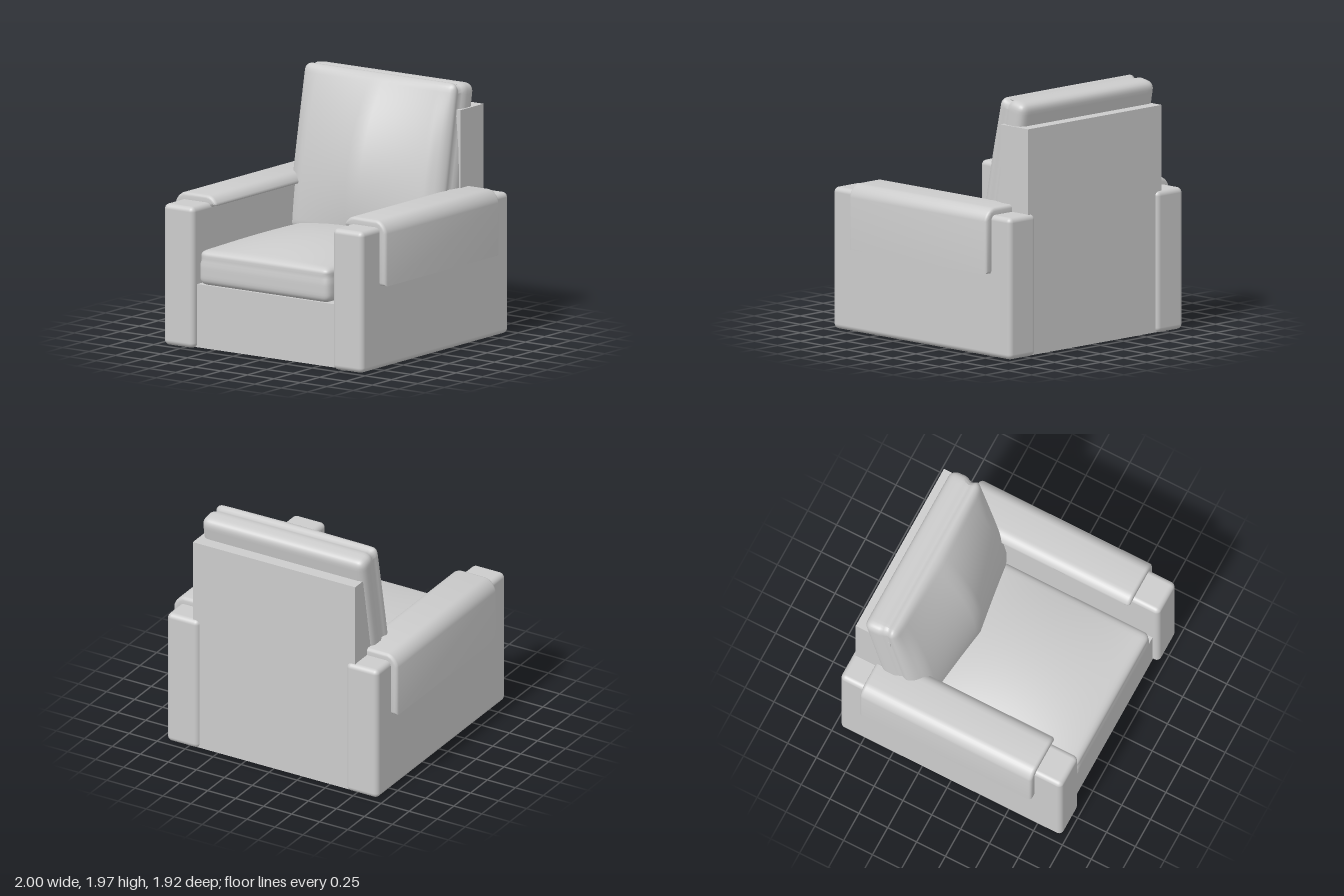
import * as THREE from 'three';
import { mergeVertices, toCreasedNormals } from 'three/addons/utils/BufferGeometryUtils.js';
import { RoundedBoxGeometry } from 'three/addons/geometries/RoundedBoxGeometry.js';

const material = new THREE.MeshStandardMaterial({ color: 0xcccccc });

function add(group, name, geometry, x = 0, y = 0, z = 0) {
  const mesh = new THREE.Mesh(geometry, material);
  mesh.name = name;
  mesh.position.set(x, y, z);
  group.add(mesh);
  return mesh;
}

// Rounded slab whose +z face swells by bulge(x, y); a shallow groove runs round its sides.
function cushion(w, h, d, r, groove, bulge) {
  const geo = new THREE.BoxGeometry(2, 2, 2, 36, 36, 16);
  const half = new THREE.Vector3(w / 2, h / 2, d / 2);
  const inner = half.clone().subScalar(r);
  const innerMin = inner.clone().negate();
  const pos = geo.attributes.position;
  const p = new THREE.Vector3(), c = new THREE.Vector3();
  const ease = (s) => Math.sin(s * Math.PI / 2); // denser rows near the edges
  for (let i = 0; i < pos.count; i++) {
    p.set(ease(pos.getX(i)), ease(pos.getY(i)), ease(pos.getZ(i))).multiply(half);
    c.copy(p).clamp(innerMin, inner);
    p.sub(c).setLength(r).add(c);
    const t = p.z / half.z;
    const dent = groove.depth * Math.exp(-(((t - groove.at) / groove.width) ** 2));
    const swell = p.z > 0 ? bulge(p.x, p.y) * THREE.MathUtils.smoothstep(t, 0.6, 1) : 0;
    // the dent only affects the outer rim, not the middle of the faces
    if (Math.abs(p.x) > inner.x) p.x -= Math.sign(p.x) * dent;
    if (Math.abs(p.y) > inner.y) p.y -= Math.sign(p.y) * dent;
    p.z += swell;
    pos.setXYZ(i, p.x, p.y, p.z);
  }
  geo.deleteAttribute('uv');
  geo.deleteAttribute('normal');
  const merged = mergeVertices(geo, 1e-5);
  merged.computeVertexNormals();
  return merged;
}

// Padded cover draped over the top and outer side of an arm
function armPadGeometry(side) {
  const s = new THREE.Shape();
  s.moveTo(0.92, 0.65);
  s.lineTo(1.0, 0.65);
  s.lineTo(1.0, 1.06);
  s.bezierCurveTo(0.995, 1.11, 0.95, 1.16, 0.9, 1.16);
  s.lineTo(0.7, 1.16);
  s.bezierCurveTo(0.65, 1.16, 0.62, 1.13, 0.607, 1.095);
  s.quadraticCurveTo(0.61, 1.075, 0.64, 1.08);
  s.lineTo(0.68, 1.06);
  s.lineTo(0.92, 1.06);
  if (side < 0) {
    const pts = s.getPoints(8).map((q) => new THREE.Vector2(-q.x, q.y)).reverse();
    s.curves = [];
    s.setFromPoints(pts);
  }
  const bevel = 0.025;
  const geo = new THREE.ExtrudeGeometry(s, {
    depth: 1.49 - 2 * bevel, curveSegments: 8, bevelEnabled: true, bevelSegments: 3,
    bevelSize: bevel, bevelThickness: bevel, bevelOffset: -bevel,
  });
  geo.translate(0, 0, -0.76 + bevel);
  return toCreasedNormals(geo, 0.7);
}

export function createModel() {
  const model = new THREE.Group();
  model.name = 'armchair';

  // Plain box frame: plinth under the seat and upright back
  add(model, 'base', new THREE.BoxGeometry(1.4, 0.495, 1.83), 0, 0.2525, -0.01);
  add(model, 'backPanel', new THREE.BoxGeometry(1.45, 1.765, 0.3), -0.005, 0.8875, -0.785);

  // Arms and their covers
  for (const [side, label] of [[1, 'left'], [-1, 'right']]) {
    add(model, label + 'Arm', new RoundedBoxGeometry(0.285, 1.105, 1.92, 4, 0.04),
      side * 0.8, 0.5525, 0);
    add(model, label + 'ArmPad', armPadGeometry(side));
  }

  // Seat cushion, crowned in the middle
  const seat = cushion(1.24, 1.53, 0.27, 0.06, { depth: 0.008, at: 0.5, width: 0.2 },
    (x, y) => 0.092 * Math.max(0, 1 - (x / 0.62) ** 2) * Math.max(0, 1 - (y / 0.765) ** 2));
  add(model, 'seatCushion', seat, -0.02, 0.635, 0.165).rotation.x = -Math.PI / 2;

  // Back cushion, leaning back and swelling to a ridge down the middle
  const back = cushion(1.455, 1.3, 0.27, 0.065, { depth: 0.025, at: 0.4, width: 0.25 },
    (x, y) => {
      const u = Math.min(1, Math.abs(x) / 0.7275);
      const across = u < 0.82 ? 1 - 0.6 * u / 0.82 : 0.4 * (1 - u) / 0.18;
      return 0.215 * across * Math.max(0, 1 - ((y + 0.15) / 0.8) ** 2);
    });
  add(model, 'backCushion', back, -0.025, 1.325, -0.616).rotation.x = -0.181;

  return model;
}
